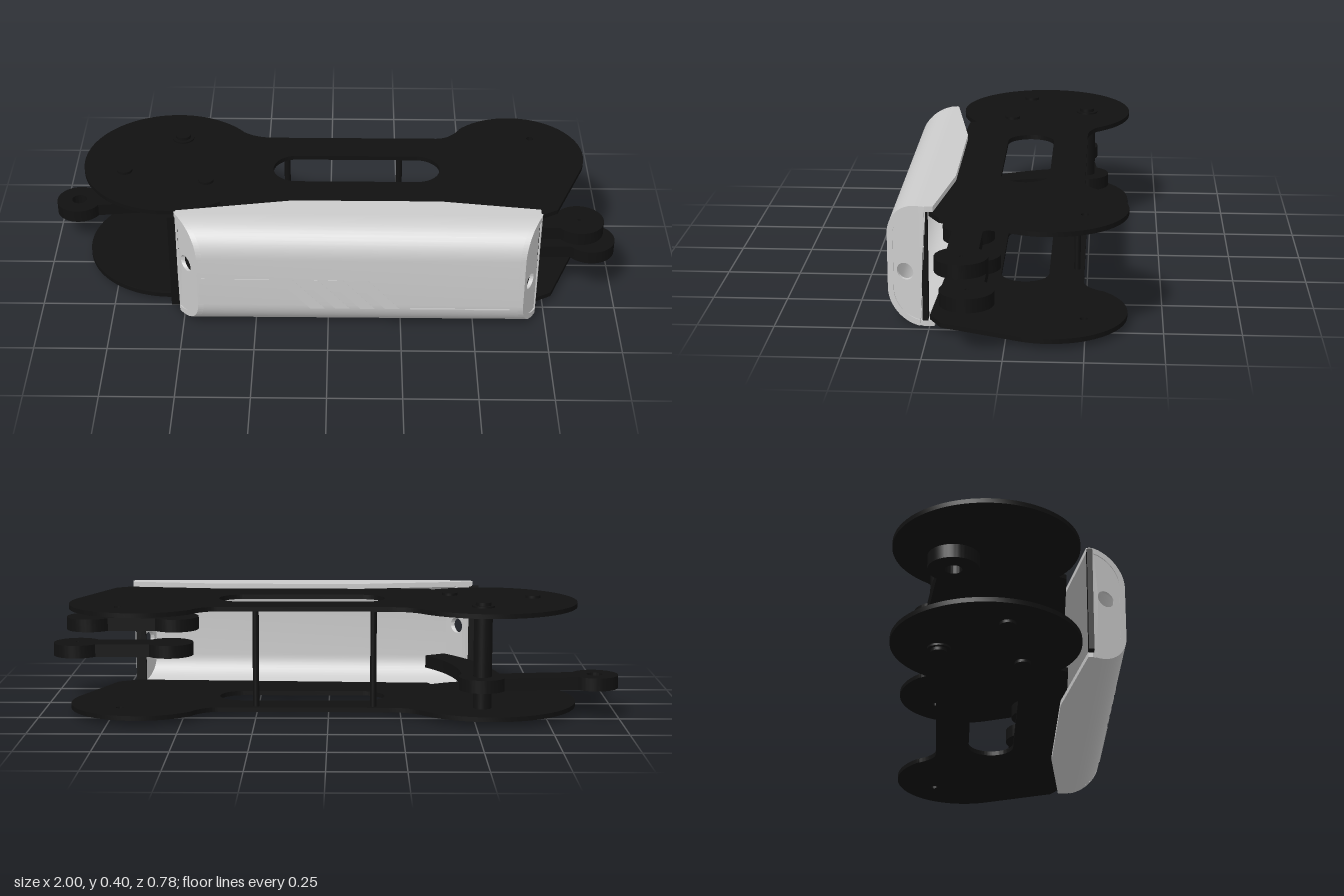
import * as THREE from 'three';
import { toCreasedNormals } from 'three/addons/utils/BufferGeometryUtils.js';

const grey = new THREE.MeshStandardMaterial({ color: 0xcccccc, side: THREE.DoubleSide });
const black = new THREE.MeshStandardMaterial({ color: 0x111111, side: THREE.DoubleSide });

function add(parent, name, geo, mat, x = 0, y = 0, z = 0) {
  const m = new THREE.Mesh(geo, mat);
  m.name = name;
  m.position.set(x, y, z);
  parent.add(m);
  return m;
}

// Flat slab: shape drawn in (x, -z), thickened upward in y
function slab(shape, depth) {
  const g = new THREE.ExtrudeGeometry(shape, { depth, bevelEnabled: false, curveSegments: 32 });
  g.rotateX(-Math.PI / 2);
  return toCreasedNormals(g, 0.5);
}

function circleHole(shape, x, y, r) {
  shape.holes.push(new THREE.Path().absarc(x, y, r, 0, Math.PI * 2, true));
}

// Side plate: two round ends joined by a slotted bar
function plateShape() {
  const s = new THREE.Shape();
  s.moveTo(-0.2, 0.24);
  s.lineTo(0.38, 0.24);
  s.quadraticCurveTo(0.43, 0.24, 0.467, 0.302);
  s.absarc(0.65, 0.135, 0.25, 2.4, -0.35, true);
  s.lineTo(0.78, -0.21);
  s.lineTo(0.71, -0.25);
  s.lineTo(-0.36, -0.2);
  s.absarc(-0.555, 0.08, 0.312, -0.95, 0.68 - Math.PI * 2, true);
  s.quadraticCurveTo(-0.27, 0.24, -0.2, 0.24);
  const slot = new THREE.Path();
  slot.absarc(-0.115, 0.038, 0.082, Math.PI / 2, Math.PI * 1.5, false);
  slot.absarc(0.305, 0.038, 0.082, -Math.PI / 2, Math.PI / 2, false);
  s.holes.push(slot);
  circleHole(s, 0.72, 0.245, 0.013);
  return s;
}

// Straight link with round ends of radius r and half-width w
function linkShape(x1, y1, x2, y2, r, w, holeR) {
  const s = new THREE.Shape();
  const a = Math.atan2(y2 - y1, x2 - x1), t = Math.asin(w / r);
  s.absarc(x1, y1, r, a + t, a - t + Math.PI * 2, false);
  s.absarc(x2, y2, r, a + Math.PI + t, a + Math.PI * 3 - t, false);
  s.closePath();
  circleHole(s, x1, y1, holeR);
  return s;
}

// Slanted ends of the cover as a function of depth z
const endX = {
  left: z => z > 0.255 ? -0.52 + Math.max(0, z - 0.27) * 0.68 : -0.52 + (0.255 - z) * 6.1,
  right: z => z > 0.235 ? 0.72 - Math.max(0, z - 0.27) * 0.5 : 0.72 - (0.235 - z) * 7.5,
};

// Cover wall outline as [z, y], inset by t
function coverProfile(t) {
  const p = [[0.19, 0.409 - t], [0.235, 0.409 - t], [0.255, 0.409 - t], [0.27, 0.409 - t]];
  const r = 0.11 - t;
  for (let i = 0; i <= 12; i++) {
    const a = Math.PI / 2 * (1 - i / 12);
    p.push([0.28 + r * Math.cos(a), 0.299 + r * Math.sin(a)]);
  }
  return p.concat(p.map(([z, y]) => [z, 0.414 - y]).reverse());
}

// Cover shell: rectangular cross-sections carried around the profile
function coverGeometry() {
  const outer = coverProfile(0), inner = coverProfile(0.018);
  const pos = [], idx = [];
  outer.forEach(([z, y], i) => {
    const [zi, yi] = inner[i];
    pos.push(endX.left(z), y, z, endX.right(z), y, z, endX.right(zi), yi, zi, endX.left(zi), yi, zi);
    if (i === 0) return;
    const a = (i - 1) * 4, b = i * 4;
    for (let k = 0; k < 4; k++) {
      const n = (k + 1) % 4;
      idx.push(a + k, b + k, b + n, a + k, b + n, a + n);
    }
  });
  const e = (outer.length - 1) * 4;
  idx.push(0, 1, 2, 0, 2, 3, e, e + 2, e + 1, e, e + 3, e + 2);
  const g = new THREE.BufferGeometry();
  g.setAttribute('position', new THREE.Float32BufferAttribute(pos, 3));
  g.setIndex(idx);
  return toCreasedNormals(g, 0.5);
}

// D-shaped outline of the cover end, in (z, y)
function endOutline(Cls, back, inset) {
  const s = new Cls(), r = 0.11 - inset, top = 0.409 - inset, bot = 0.005 + inset;
  s.moveTo(back, bot);
  s.absarc(0.28, bot + r, r, -Math.PI / 2, 0, false);
  s.absarc(0.28, top - r, r, 0, Math.PI / 2, false);
  s.lineTo(back, top);
  s.closePath();
  return s;
}

// Lay an end piece onto the slanted end plane
function endPiece(shape, depth, side, offset) {
  const g = new THREE.ExtrudeGeometry(shape, { depth, bevelEnabled: false, curveSegments: 20 });
  const p = g.attributes.position, sign = side === 'left' ? 1 : -1;
  for (let i = 0; i < p.count; i++) {
    const z = p.getX(i);
    p.setXYZ(i, endX[side](z) + sign * (p.getZ(i) + offset), p.getY(i), z);
  }
  return toCreasedNormals(g, 0.5);
}

export function createModel() {
  const model = new THREE.Group();
  model.name = 'linkageHousing';

  // Plates with screw heads
  const plate = slab(plateShape(), 0.016);
  add(model, 'lowerPlate', plate, black, 0, 0.024, 0);
  add(model, 'upperPlate', plate, black, 0, 0.375, 0);
  for (const [x, z] of [[-0.72, -0.015], [-0.43, 0.045]])
    for (const y of [0.02, 0.394])
      add(model, 'screwHead', new THREE.CylinderGeometry(0.027, 0.027, 0.012, 24), black, x, y, z);

  // Pivot post with washers and caps, and two thin spacers
  const tube = (name, r, y0, y1, x, z) =>
    add(model, name, new THREE.CylinderGeometry(r, r, y1 - y0, 28), black, x, (y0 + y1) / 2, z);
  tube('pivotPost', 0.032, 0.03, 0.385, -0.53, -0.232);
  for (const s of [-1, 1]) {
    tube('pivotWasher', 0.039, 0.207 + s * 0.185 - 0.005, 0.207 + s * 0.185 + 0.005, -0.53, -0.232);
    tube('pivotCap', 0.027, 0.207 + s * 0.195 - 0.006, 0.207 + s * 0.195 + 0.006, -0.53, -0.232);
  }
  tube('spacer', 0.011, 0.03, 0.385, -0.155, -0.215);
  tube('spacer', 0.011, 0.03, 0.385, 0.25, -0.215);

  // Bell-crank lever on the pivot: eye arm and curved inner arm
  const lever = new THREE.Group();
  lever.name = 'pivotLever';
  lever.position.y = 0.105;
  model.add(lever);
  add(lever, 'eyeArm', slab(linkShape(-0.92, 0.19, -0.53, 0.235, 0.081, 0.045, 0.027), 0.045), black);
  const hook = new THREE.Shape();
  hook.moveTo(-0.6, 0.24);
  hook.quadraticCurveTo(-0.57, -0.02, -0.42, -0.2);
  hook.lineTo(-0.35, -0.16);
  hook.quadraticCurveTo(-0.47, 0.0, -0.46, 0.24);
  hook.closePath();
  add(lever, 'curvedArm', slab(hook, 0.045), black);

  // Two links leaving the narrow end
  add(model, 'lowerLink', slab(linkShape(0.914, -0.114, 0.58, -0.114, 0.086, 0.05, 0.006), 0.046), black, 0, 0.16, 0);
  add(model, 'upperLink', slab(linkShape(0.868, -0.134, 0.56, -0.134, 0.085, 0.05, 0.006), 0.046), black, 0, 0.252, 0);

  // Front cover with its slanted ends
  const cover = new THREE.Group();
  cover.name = 'frontCover';
  model.add(cover);
  add(cover, 'coverShell', coverGeometry(), grey);
  for (const [side, hz, hy, bx] of [['left', 0.32, 0.235, -0.53], ['right', 0.33, 0.18, 0.70]]) {
    const cap = endOutline(THREE.Shape, 0.258, 0);
    circleHole(cap, hz, hy, 0.028);
    add(cover, side === 'left' ? 'rightEndCap' : 'leftEndCap', endPiece(cap, 0.014, side, 0), grey);
    const rim = endOutline(THREE.Shape, 0.262, 0);
    rim.holes.push(endOutline(THREE.Path, 0.28, 0.02));
    add(cover, 'endRim', endPiece(rim, 0.005, side, -0.005), grey);
    add(cover, 'endBacking', new THREE.BoxGeometry(0.035, 0.37, 0.018), black, bx, 0.207, 0.264);
  }

  // Shallow trim on the cover face
  for (let i = 0; i < 4; i++) {
    const x = -0.17 + i * 0.085;
    const s = new THREE.Shape([[x, 0.22], [x + 0.05, 0.22], [x + 0.16, 0.1], [x + 0.11, 0.1]]
      .map(([u, v]) => new THREE.Vector2(u, v)));
    add(cover, 'slantedTrim', new THREE.ExtrudeGeometry(s, { depth: 0.002, bevelEnabled: false }), grey, 0, 0, 0.389);
  }
  add(cover, 'trimLine', new THREE.BoxGeometry(0.26, 0.004, 0.003), grey, -0.3, 0.22, 0.39);
  add(cover, 'trimLine', new THREE.BoxGeometry(0.34, 0.004, 0.003), grey, 0.45, 0.1, 0.39);

  return model;
}
